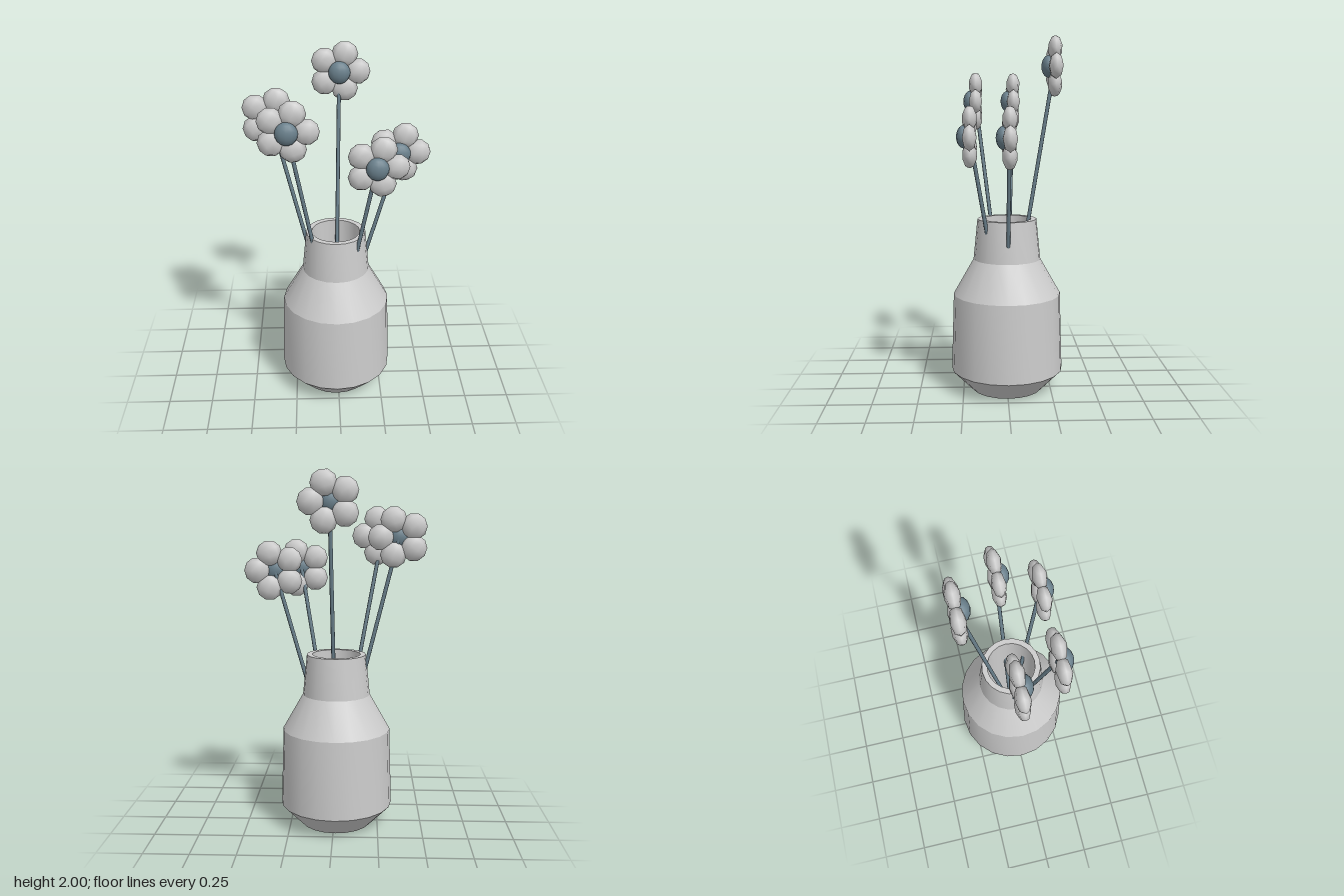
import * as THREE from 'three';
import { toCreasedNormals } from 'three/addons/utils/BufferGeometryUtils.js';

const grey = new THREE.MeshStandardMaterial({ color: 0xcccccc });
const slate = new THREE.MeshStandardMaterial({ color: 0x6a808c });

const AXIS_X = -0.012; // vase axis
const STEM_BASE = new THREE.Vector3(AXIS_X, 0.25, 0);

function add(parent, name, geometry, material) {
  const mesh = new THREE.Mesh(geometry, material);
  mesh.name = name;
  parent.add(mesh);
  return mesh;
}

// Vase: underside, outer wall, rim and inner wall in one profile
function makeVase() {
  const profile = [
    [0, 0], [0.2, 0], [0.318, 0.12], [0.304, 0.56],
    [0.19, 0.76], [0.167, 0.99], [0.136, 0.99], [0.13, 0.2],
  ].map(([r, y]) => new THREE.Vector2(r, y));
  return toCreasedNormals(new THREE.LatheGeometry(profile, 20), 0.35);
}

// Petal: flattened ellipsoid whose poles lie along its own radius
const petalGeometry = new THREE.SphereGeometry(1, 8, 5).rotateZ(-Math.PI / 2).scale(0.071, 0.073, 0.04);
const centreGeometry = new THREE.SphereGeometry(1, 12, 10).scale(0.06, 0.062, 0.042);

function makeFlower(position) {
  const flower = new THREE.Group();
  flower.name = 'flower';
  flower.position.copy(position);
  for (let i = 0; i < 5; i++) {
    const a = (i * Math.PI * 2) / 5;
    const petal = add(flower, 'petal', petalGeometry, grey);
    petal.position.set(0.1 * Math.cos(a), 0.1 * Math.sin(a), 0);
    petal.rotation.z = a;
  }
  add(flower, 'flowerCentre', centreGeometry, slate).position.z = 0.03;
  return flower;
}

// Stem: thin rod from the vase floor to the flower
function makeStem(top) {
  const dir = top.clone().sub(STEM_BASE);
  const stem = new THREE.Mesh(new THREE.CylinderGeometry(0.011, 0.011, dir.length(), 8), slate);
  stem.name = 'stem';
  stem.position.copy(STEM_BASE).addScaledVector(dir, 0.5);
  stem.quaternion.setFromUnitVectors(new THREE.Vector3(0, 1, 0), dir.normalize());
  return stem;
}

export function createModel() {
  const model = new THREE.Group();
  model.name = 'vaseWithFlowers';
  add(model, 'vase', makeVase(), grey).position.x = AXIS_X;

  // Flower heads
  const heads = [
    [0.015, 1.835, -0.26],
    [0.33, 1.46, -0.003],
    [0.197, 1.46, 0.205],
    [-0.268, 1.645, 0.175],
    [-0.355, 1.645, -0.045],
  ];
  for (const h of heads) {
    const top = new THREE.Vector3(...h);
    model.add(makeStem(top), makeFlower(top));
  }
  return model;
}
